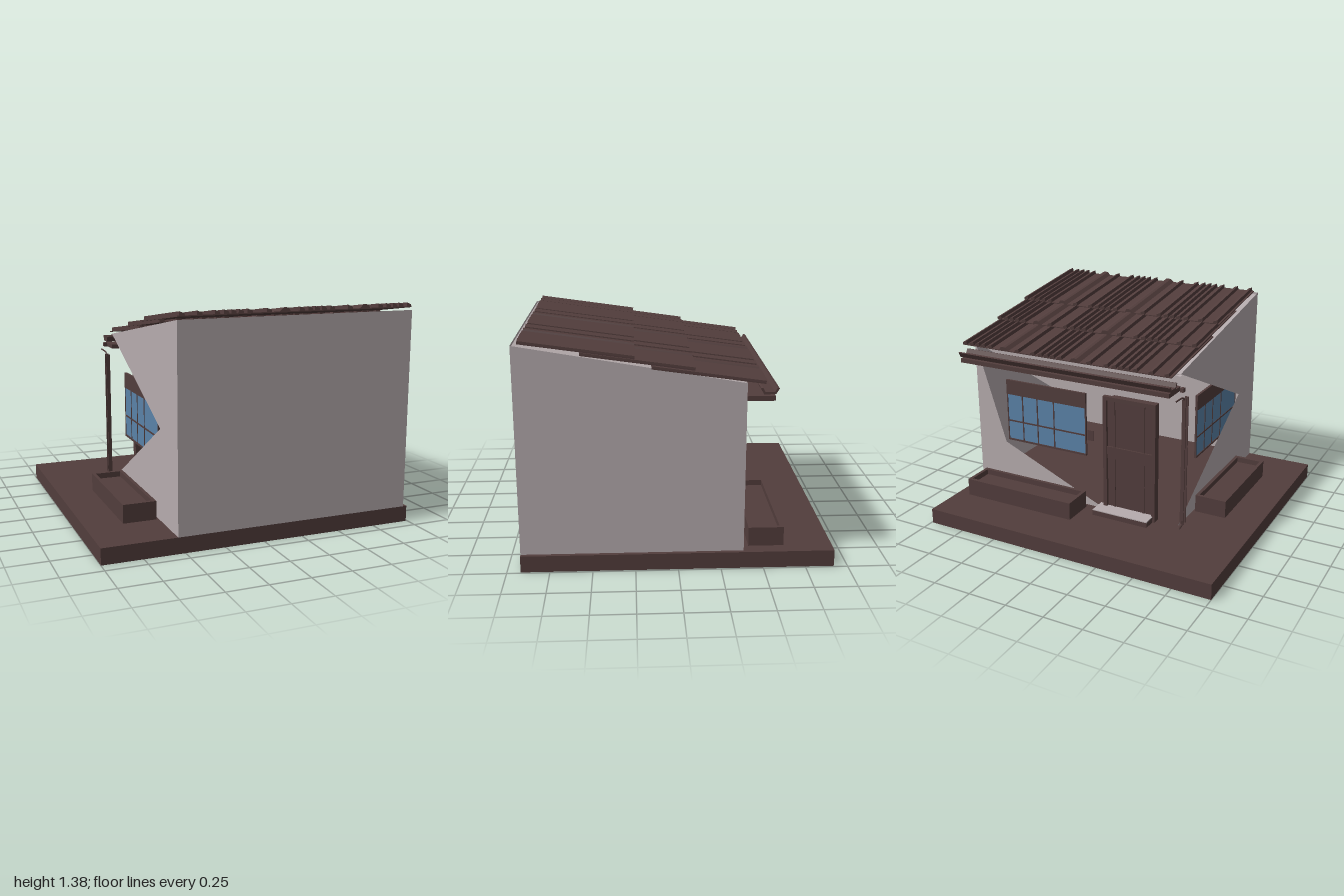
import * as THREE from 'three';

const mat = (name, color, side = THREE.FrontSide) => {
  const m = new THREE.MeshStandardMaterial({ color, side });
  m.name = name;
  return m;
};

export function createModel() {
  const brown = mat('brown', 0x523d3c);
  const plaster = mat('plaster', 0xb6acae, THREE.DoubleSide);
  const ceilingPlaster = plaster.clone(); // same colour, seen from above only
  ceilingPlaster.side = THREE.FrontSide;
  const glass = mat('glass blue', 0x5a82a8);

  const model = new THREE.Group();
  model.name = 'house';

  const add = (parent, name, geometry, material) => {
    const m = new THREE.Mesh(geometry, material);
    m.name = name;
    parent.add(m);
    return m;
  };
  // Box given by its minimum and maximum corners
  const box = (parent, name, x0, x1, y0, y1, z0, z1, material = brown) => {
    const m = add(parent, name, new THREE.BoxGeometry(x1 - x0, y1 - y0, z1 - z0), material);
    m.position.set((x0 + x1) / 2, (y0 + y1) / 2, (z0 + z1) / 2);
    return m;
  };
  const polygon = points => new THREE.Shape(points.map(p => new THREE.Vector2(...p)));
  const group = (name) => {
    const g = new THREE.Group();
    g.name = name;
    model.add(g);
    return g;
  };

  // Ground plate
  box(model, 'base', -1, 0.99, 0, 0.1, -0.92, 0.92);

  // Walls: two whole, two with open triangular gaps
  const L = -0.545, R = 0.965, F = 0.92, B = -0.385, floor = 0.1, high = 1.34, low = 1.115;
  const wall = (name, polys) =>
    add(model, name, new THREE.ShapeGeometry(polys.map(polygon)), plaster);
  wall('frontWall', [[[L, floor], [R, floor], [R, high], [L, high]]]).position.z = F;
  const leftSideWall = wall('leftWall', [[[B, floor], [F, floor], [F, high], [B, low]]]);
  leftSideWall.rotation.y = -Math.PI / 2;
  leftSideWall.position.x = R;
  const openWall = wall('openSideWall', [[[F, floor], [F, high], [B, low], [0.62, 0.67], [B, floor]]]);
  openWall.rotation.y = -Math.PI / 2;
  openWall.position.x = L;
  wall('backWall', [
    [[R, floor], [R, low], [0.75, 0.43], [-0.01, floor]],
    [[R, low], [L, low], [0.14, 0.8]],
  ]).position.z = B;

  // Sloping roof deck below the tiles
  const run = F - B, rise = high - low;
  const deck = add(model, 'roofDeck',
    new THREE.PlaneGeometry(R - L, Math.hypot(run, rise)).rotateX(-Math.PI / 2), ceilingPlaster);
  deck.rotation.x = -Math.atan2(rise, run);
  deck.position.set((L + R) / 2, (high + low) / 2 - 0.015, (F + B) / 2);

  // Ribbed roof sheets in three overlapping rows
  const offsets = [0, 0.105, 0.21, 0.265, 0.31, 0.355, 0.41];
  const top = [[-0.53, 0.006]];
  for (let k = 0; k < 3; k++) {
    offsets.forEach((o, i) => {
      const x = -0.5 + k * 0.53 + o;
      if (i === 1 && k > 0) {
        top.push([x - 0.04, 0.006], [x - 0.018, 0.026], [x, 0.03], [x + 0.018, 0.026], [x + 0.03, 0.006]);
      } else {
        top.push([x - 0.017, 0.006], [x - 0.015, 0.03], [x + 0.015, 0.018], [x + 0.016, 0.006]);
      }
    });
  }
  const end = top[top.length - 1][0];
  const sheet = polygon([...top, [end, 0], [-0.53, 0]]);
  const rows = [[0.245, 1.263], [-0.09, 1.195], [-0.485, 1.115]];
  rows.forEach(([z, y], i) => {
    const row = add(model, 'roofTileRow' + (i + 1),
      new THREE.ExtrudeGeometry(sheet, { depth: 0.642, bevelEnabled: false }), brown);
    row.position.set(0, y, z);
    row.rotation.x = -Math.atan(0.141);
  });

  // Eaves board and gutter
  box(model, 'eavesBoard', L, R, 1.012, 1.04, -0.545, B);
  const gutterShape = polygon([
    [-0.46, 1.085], [-0.478, 1.05], [-0.545, 1.05], [-0.565, 1.083],
    [-0.553, 1.086], [-0.538, 1.062], [-0.485, 1.062], [-0.472, 1.088],
  ]);
  const gutter = add(model, 'gutter',
    new THREE.ExtrudeGeometry(gutterShape, { depth: R + 0.557, bevelEnabled: false }), brown);
  gutter.rotation.y = -Math.PI / 2;
  gutter.position.x = R;

  // Downpipe: two slim strips with a bend at top and foot
  const pipe = group('downpipe');
  box(pipe, 'pipeOuterStrip', -0.592, -0.568, 0.13, 0.975, -0.409, -0.402);
  box(pipe, 'pipeInnerStrip', -0.592, -0.568, 0.13, 0.975, -0.372, -0.365);
  const bend = (name, pts, r) => add(pipe, name, new THREE.TubeGeometry(
    new THREE.CatmullRomCurve3(pts.map(p => new THREE.Vector3(...p))), 8, r, 6), brown);
  bend('pipeTopBend', [[-0.58, 0.965, -0.405], [-0.58, 0.982, -0.42], [-0.58, 0.992, -0.535]], 0.005);
  bend('pipeFoot', [[-0.58, 0.16, -0.405], [-0.58, 0.13, -0.408], [-0.575, 0.115, -0.44]], 0.01);
  box(pipe, 'pipeBracket', -0.592, -0.57, 1.025, 1.05, -0.45, -0.42);

  // Windows, facing local -z
  const makeWindow = (name, w) => {
    const g = group(name), h = w / 2;
    box(g, 'glass', -h, h, 0.47, 0.8, -0.003, 0.003, glass);
    box(g, 'header', -h, h, 0.79, 0.89, -0.008, 0.008);
    box(g, 'sill', -h, h, 0.462, 0.474, -0.008, 0.008);
    box(g, 'crossBar', -h, h, 0.598, 0.608, -0.006, 0.006);
    [-0.495, -0.1, 0.11, 0.3, 0.495].forEach(u =>
      box(g, 'mullion', u * w - 0.004, u * w + 0.004, 0.47, 0.8, -0.006, 0.006));
    return g;
  };
  makeWindow('backWindow', 0.607).position.set(0.41, 0, B - 0.012);
  const sideWindow = makeWindow('sideWindow', 0.68);
  sideWindow.rotation.y = Math.PI / 2;
  sideWindow.position.set(L + 0.01, 0, 0.228);

  // Door with frame, rail and panels
  const door = group('door');
  box(door, 'doorLeaf', -0.37, -0.05, 0.12, 0.88, -0.395, -0.375);
  box(door, 'frameSide', -0.05, -0.025, 0.1, 0.9, -0.415, -0.365);
  box(door, 'frameSide', -0.395, -0.37, 0.1, 0.9, -0.415, -0.365);
  box(door, 'frameTop', -0.37, -0.05, 0.875, 0.9, -0.415, -0.365);
  box(door, 'middleRail', -0.37, -0.05, 0.48, 0.56, -0.405, -0.395);
  [-0.1, -0.31].forEach(x => box(door, 'stile', x - 0.005, x + 0.005, 0.12, 0.875, -0.402, -0.395));
  box(model, 'doorBell', 0.06, 0.1, 0.57, 0.64, -0.394, -0.386);

  // Doorstep with a pale top
  box(model, 'doorstep', -0.38, 0.01, 0.1, 0.134, -0.5, B);
  box(model, 'doorstepTop', -0.38, 0.01, 0.134, 0.14, -0.5, B, plaster);

  // Planter troughs
  const planter = (name, x0, x1, z0, z1) => {
    const g = group(name), t = 0.022;
    box(g, 'soil', x0 + t, x1 - t, 0.1, 0.18, z0 + t, z1 - t);
    box(g, 'longSide', x0, x1, 0.1, 0.216, z0, z0 + t);
    box(g, 'longSide', x0, x1, 0.1, 0.216, z1 - t, z1);
    box(g, 'endSide', x0, x0 + t, 0.1, 0.216, z0 + t, z1 - t);
    box(g, 'endSide', x1 - t, x1, 0.1, 0.216, z0 + t, z1 - t);
  };
  planter('backPlanter', 0.105, 0.905, -0.63, -0.42);
  planter('sidePlanter', -0.77, -0.56, -0.145, 0.578);

  return model;
}
